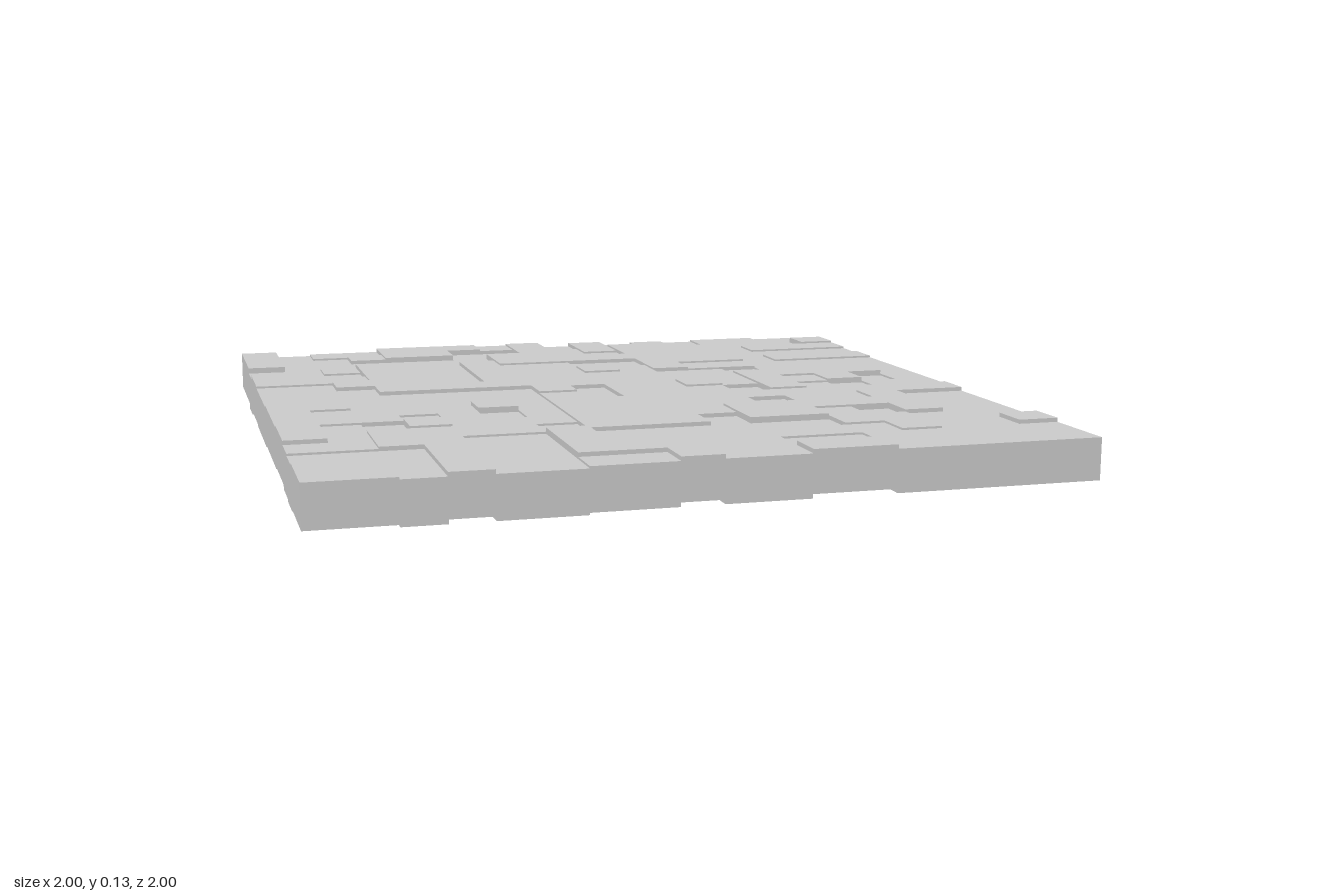
import * as THREE from 'three';
import { mergeGeometries } from 'three/addons/utils/BufferGeometryUtils.js';

const CELLS = 18;               // blocks along each side
const SIZE = 2 / CELLS;         // edge length of one cubic block
const STEP = 0.0055;            // height difference between neighbouring levels
const LEVELS = 4;

// Small seeded generator
function seeded(seed) {
  return () => {
    seed = (seed * 1664525 + 1013904223) % 4294967296;
    return seed / 4294967296;
  };
}

// Patchy levels: a block often shares the level of its neighbour
function makeLevels() {
  const random = seeded(41);
  const levels = [];
  for (let row = 0; row < CELLS; row++) {
    levels.push([]);
    for (let col = 0; col < CELLS; col++) {
      const pick = random();
      let level = Math.floor(random() * LEVELS);
      if (pick < 0.32 && col > 0) level = levels[row][col - 1];
      else if (pick > 0.68 && row > 0) level = levels[row - 1][col];
      levels[row].push(level);
    }
  }
  return levels;
}

export function createModel() {
  const group = new THREE.Group();
  group.name = 'blockSlab';
  const material = new THREE.MeshStandardMaterial({ color: 0xcccccc, flatShading: true });

  // One mesh per row of cubic blocks, each block raised by its level
  makeLevels().forEach((levels, row) => {
    const blocks = levels.map((level, col) =>
      new THREE.BoxGeometry(SIZE, SIZE, SIZE).translate(
        -1 + (col + 0.5) * SIZE,
        SIZE / 2 + level * STEP,
        -1 + (row + 0.5) * SIZE
      )
    );
    const mesh = new THREE.Mesh(mergeGeometries(blocks), material);
    mesh.name = `blockRow${row + 1}`;
    group.add(mesh);
  });
  return group;
}
